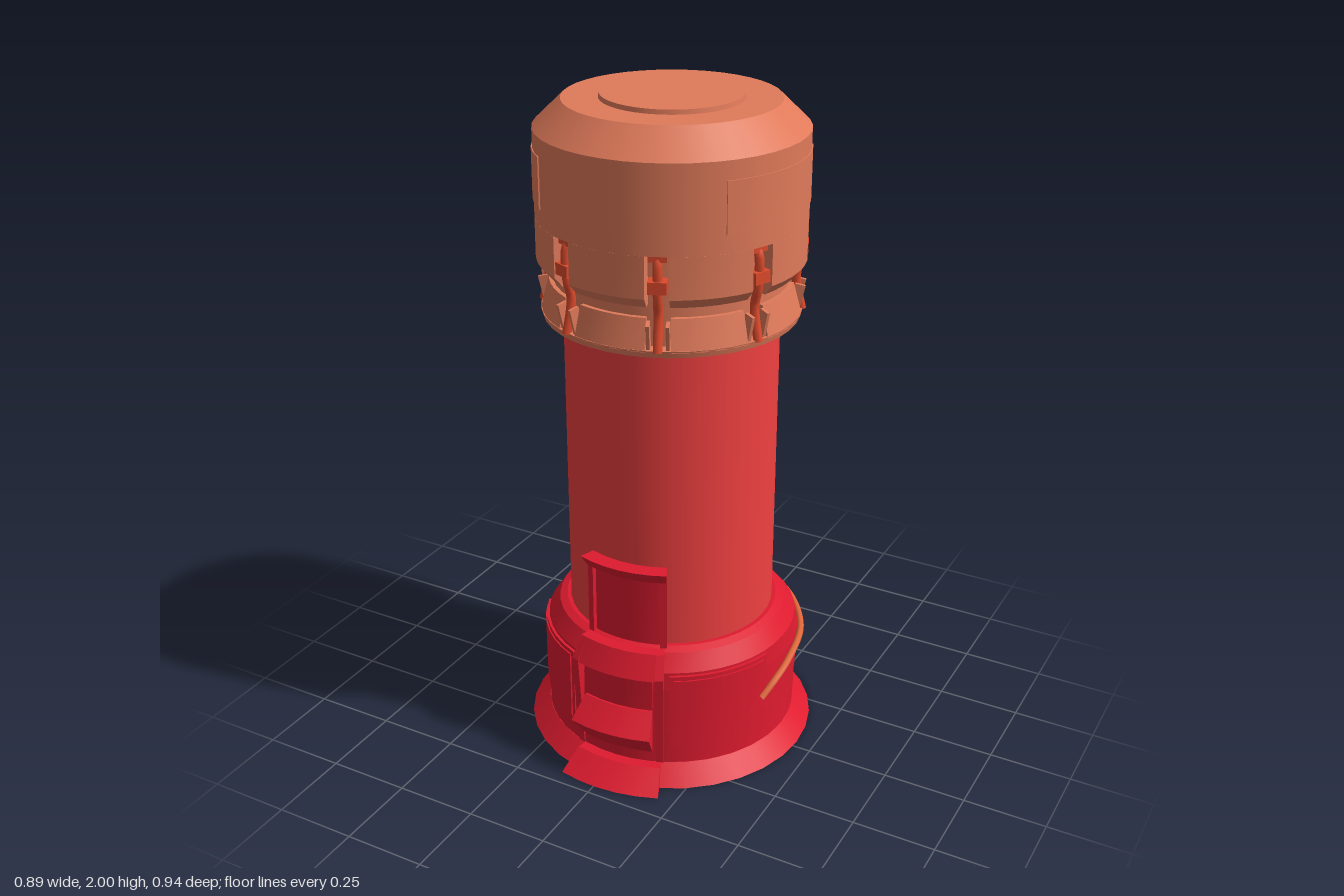
import * as THREE from 'three';
import { mergeGeometries } from 'three/addons/utils/BufferGeometryUtils.js';

const mat = (color) => new THREE.MeshStandardMaterial({ color, roughness: 0.8 });
const CAP = mat(0xe07a5a), TUBE = mat(0xf04040), BASE = mat(0xdf1b2f), CLIP = mat(0xdd4a2c), HOSE = mat(0xe0673a);
const rad = THREE.MathUtils.degToRad;
const fn = (v) => (typeof v === 'function' ? v : () => v);

// Lathe with a crisp edge at every profile point, profile runs bottom to top
function turned(profile, segments = 32) {
  const bands = [];
  for (let i = 0; i < profile.length - 1; i++) {
    const pts = [profile[i], profile[i + 1]].map(([r, y]) => new THREE.Vector2(r, y));
    bands.push(new THREE.LatheGeometry(pts, segments));
  }
  return mergeGeometries(bands);
}

// Box bent round the axis: angles in degrees from the front towards +x.
// Heights and radii may be numbers or functions of the angle.
function bent(a0, a1, lo, hi, rIn, rLow, rHigh = rLow) {
  const [fl, fh, f0, f1] = [lo, hi, rLow, rHigh].map(fn);
  const g = new THREE.BoxGeometry(1, 1, 1, Math.max(1, Math.ceil((a1 - a0) / 8)), 1, 1);
  const p = g.attributes.position;
  for (let i = 0; i < p.count; i++) {
    const deg = a0 + (p.getX(i) + 0.5) * (a1 - a0), t = p.getY(i) + 0.5;
    const r = p.getZ(i) < 0 ? rIn : f0(deg) + (f1(deg) - f0(deg)) * t;
    const a = rad(deg);
    p.setXYZ(i, r * Math.sin(a), fl(deg) + (fh(deg) - fl(deg)) * t, r * Math.cos(a));
  }
  g.computeVertexNormals();
  return g;
}

function polar(deg, r, y) {
  return new THREE.Vector3(r * Math.sin(rad(deg)), y, r * Math.cos(rad(deg)));
}

export function createModel() {
  const model = new THREE.Group();
  model.name = 'canister';
  const body = new THREE.Group();
  body.name = 'body';
  body.position.z = -0.025;
  model.add(body);
  const add = (name, geometry, material, parent = body) => {
    const m = new THREE.Mesh(geometry, material);
    m.name = name;
    parent.add(m);
    return m;
  };

  // Foot flange and main tube
  add('baseFlange', turned([[0, 0], [0.445, 0], [0.39, 0.055], [0.3, 0.055]]), BASE);
  add('mainTube', turned([[0.313, 0.05], [0.313, 1.4]], 40), TUBE);

  // Base housing, swelling towards the back, with a long slot behind
  const swell = (r, s) => (deg) => r + s * Math.max(0, -Math.cos(rad(deg)));
  add('baseCore', turned([[0.365, 0.05], [0.365, 0.3]]), BASE);
  add('baseHousing', mergeGeometries([
    bent(3, 363, 0.05, 0.14, 0.3, swell(0.388, 0), swell(0.387, 0.01)),
    bent(-113, 117, 0.14, 0.168, 0.3, swell(0.387, 0.01)),
    bent(3, 363, 0.168, 0.31, 0.3, swell(0.387, 0.012), swell(0.386, 0.025)),
    bent(3, 363, 0.31, 0.37, 0.3, swell(0.386, 0.025), swell(0.382, 0.01)),
    bent(3, 363, 0.37, 0.42, 0.3, swell(0.382, 0.01), 0.348),
    bent(3, 363, 0.42, 0.43, 0.3, 0.348, 0.325),
  ]), BASE);

  // Side plates with the lower outer corner cut away
  const plate = (off, inset, r) => {
    const lo = (deg) => {
      const d = Math.abs(deg - 3.5);
      return 0.11 + inset + 0.13 * Math.max(0, (d - 46) / 26);
    };
    const near = 24 + inset * 150, far = 72 - inset * 150;
    return off > 0 ? bent(3.5 + near, 3.5 + far, lo, 0.362 - inset, 0.34, r)
      : bent(3.5 - far, 3.5 - near, lo, 0.362 - inset, 0.34, r);
  };
  for (const s of [1, -1]) {
    add('sidePlate', plate(s, 0, 0.391), BASE);
    add('sidePlateInner', plate(s, 0.013, 0.395), BASE);
  }

  // Hose looping round the back
  const hosePath = [[72, 0.393, 0.215], [80, 0.397, 0.25], [94, 0.397, 0.28], [117, 0.407, 0.303], [148, 0.418, 0.315], [180, 0.423, 0.32]];
  const half = hosePath.map(([a, r, y]) => polar(a, r, y));
  const otherHalf = hosePath.slice(0, -1).reverse().map(([a, r, y]) => polar(-a, r, y));
  add('hose', new THREE.TubeGeometry(new THREE.CatmullRomCurve3([...half, ...otherHalf]), 72, 0.011, 8), HOSE);

  // Front control unit
  const unit = new THREE.Group();
  unit.name = 'controlUnit';
  body.add(unit);
  add('unitFoot', bent(-14, 23.7, 0, 0.055, 0.3, 0.493, 0.42), BASE, unit);
  add('unitBack', bent(-17, 24, 0.05, 0.42, 0.3, 0.378, 0.36), BASE, unit);
  for (const [a, b] of [[-18, -14.5], [21.5, 25]]) {
    add('unitPost', mergeGeometries([
      bent(a, b, 0.05, 0.36, 0.3, 0.39, 0.41),
      bent(a, b, 0.36, 0.425, 0.3, 0.41, 0.372),
    ]), BASE, unit);
  }
  add('unitTopRail', bent(-14.5, 21.5, 0.355, 0.425, 0.3, 0.41, 0.372), BASE, unit);
  add('unitBlock', bent(-13, 20, 0.25, 0.345, 0.3, 0.394), BASE, unit);
  add('unitSpout', mergeGeometries([
    bent(-13, 20, 0.095, 0.175, 0.34, 0.395, 0.455),
    bent(-13, 20, 0.175, 0.238, 0.34, 0.455, 0.392),
  ]), BASE, unit);

  // Upright framed panel above the control unit
  add('uprightPanel', bent(-18, 25, 0.41, 0.66, 0.29, 0.323), BASE, unit);
  for (const [a, b] of [[-19, -15.5], [22.5, 26]]) add('uprightFrame', bent(a, b, 0.41, 0.66, 0.29, 0.335), BASE, unit);
  add('uprightLip', bent(-19, 26, 0.65, 0.688, 0.29, 0.338, 0.362), BASE, unit);

  // Cap: solid core, domed top and raised disc
  add('capCore', turned([[0.3, 1.37], [0.37, 1.37], [0.375, 1.39], [0.338, 1.39], [0.338, 1.66],
    [0.385, 1.66], [0.385, 1.91], [0.305, 1.987], [0.202, 1.987], [0.2, 2], [0, 2]], 40), CAP);

  // Cap skirt and collar split by eight notches, each holding a clip
  for (let k = 0; k < 8; k++) {
    const a = 22.5 + 45 * k;
    add('capSkirt', mergeGeometries([
      bent(a + 5, a + 40, 1.51, 1.54, 0.33, 0.36, 0.385),
      bent(a + 5, a + 40, 1.54, 1.66, 0.33, 0.385),
    ]), CAP);
    add('capCollar', bent(a + 5.5, a + 39.5, 1.385, 1.475, 0.33, 0.374, 0.35), CAP);

    const clip = new THREE.Group();
    clip.name = 'clip';
    clip.rotation.y = rad(a);
    body.add(clip);
    const path = [[0.352, 1.655], [0.366, 1.635], [0.366, 1.54], [0.354, 1.49], [0.357, 1.45], [0.372, 1.385]];
    const curve = new THREE.CatmullRomCurve3(path.map(([r, y]) => new THREE.Vector3(0, y, r)));
    add('clipRod', new THREE.TubeGeometry(curve, 16, 0.013, 8), CLIP, clip);
    const knot = add('clipKnot', new THREE.BoxGeometry(0.052, 0.034, 0.042), CLIP, clip);
    knot.position.set(0, 1.572, 0.364);
    const bar = add('clipTopBar', new THREE.BoxGeometry(0.05, 0.018, 0.03), CLIP, clip);
    bar.position.set(0, 1.65, 0.358);
    for (const s of [1, -1]) {
      const cheek = add('clipCheek', new THREE.BoxGeometry(0.01, 0.085, 0.03), CAP, clip);
      cheek.position.set(s * 0.027, 1.425, 0.358);
      cheek.rotation.x = 0.22;
    }
  }

  // Thin plates on the cap wall
  for (const [a, b] of [[50, 117], [-132, -98], [-64, -40]]) {
    add('capPlate', bent(a, b, 1.71, 1.857, 0.37, 0.388), CAP);
  }
  return model;
}
